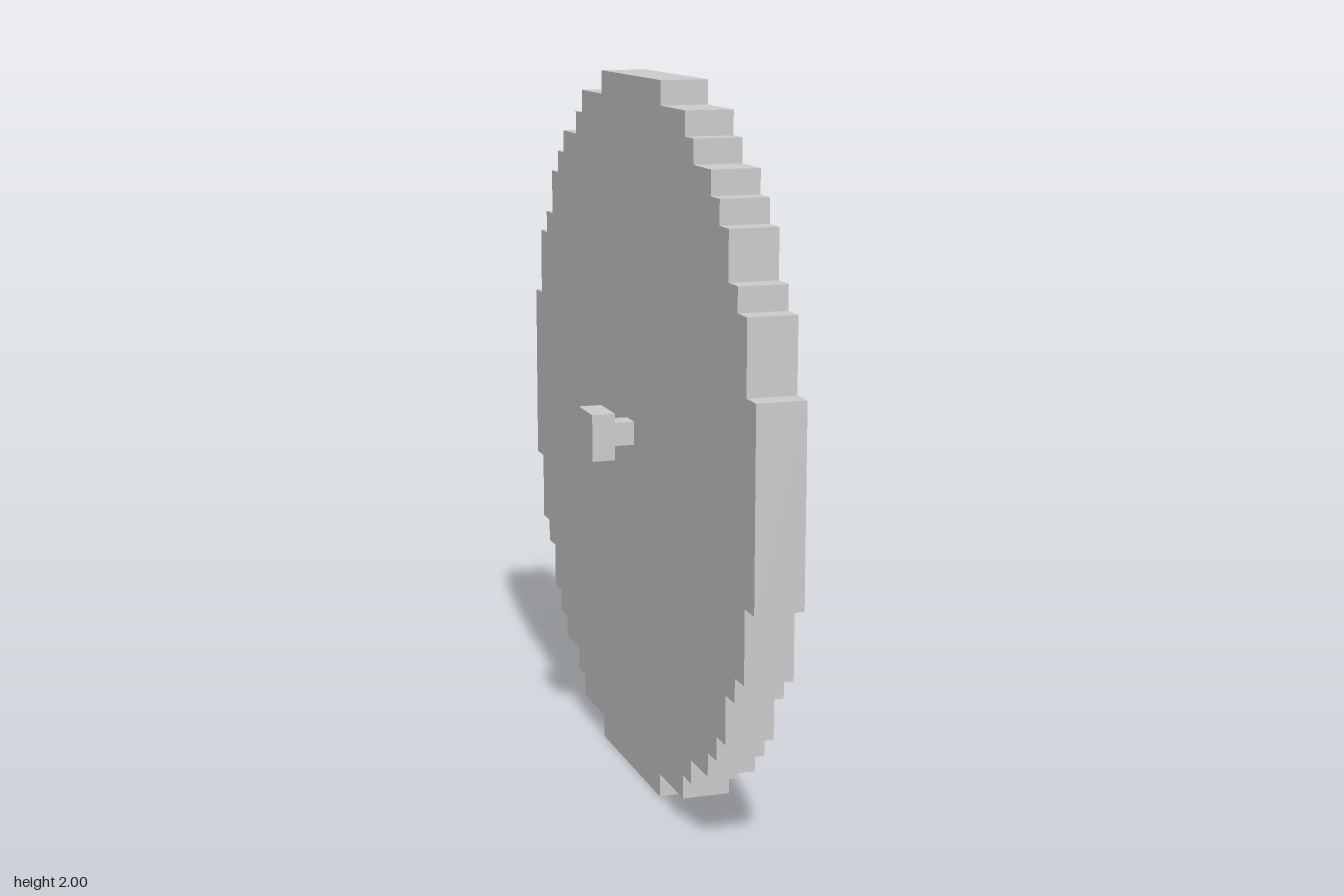
import * as THREE from 'three';

const U = 1 / 15; // one block

export function createModel() {
  const model = new THREE.Group();
  model.name = 'steppedWheel';
  const material = new THREE.MeshStandardMaterial({ color: 0xcccccc, flatShading: true });

  const add = (name, geometry, x) => {
    const mesh = new THREE.Mesh(geometry, material);
    mesh.name = name;
    mesh.position.set(x, 1, 0);
    model.add(mesh);
    return mesh;
  };

  // Outer corners of one quarter of the stepped circle, in blocks
  const corners = [[15, 4], [14, 7], [13, 8], [12, 10], [11, 11], [10, 12], [8, 13], [7, 14], [4, 15]];
  const quarter = [];
  corners.forEach(([a, b], i) => {
    if (i > 0) quarter.push([a, corners[i - 1][1]]); // inner corner of the step
    quarter.push([a, b]);
  });

  // Repeat the quarter four times, turning it 90 degrees each time
  const outline = [];
  for (let q = 0; q < 4; q++) {
    for (const [a, b] of quarter) {
      const [x, y] = [[a, b], [-b, a], [-a, -b], [b, -a]][q];
      outline.push(new THREE.Vector2(x * U, y * U));
    }
  }

  // Wheel disc, two blocks thick, facing sideways
  const disc = new THREE.ExtrudeGeometry(new THREE.Shape(outline), { depth: 2 * U, bevelEnabled: false });
  disc.translate(0, 0, -U);
  disc.rotateY(Math.PI / 2);
  add('disc', disc, 0);

  // Axle stub and square cap on each side
  for (const [side, s] of [['left', 1], ['right', -1]]) {
    add(side + 'Axle', new THREE.BoxGeometry(U, U, U), s * 1.5 * U);
    add(side + 'AxleCap', new THREE.BoxGeometry(U, 2 * U, 2 * U), s * 2.5 * U);
  }

  return model;
}
